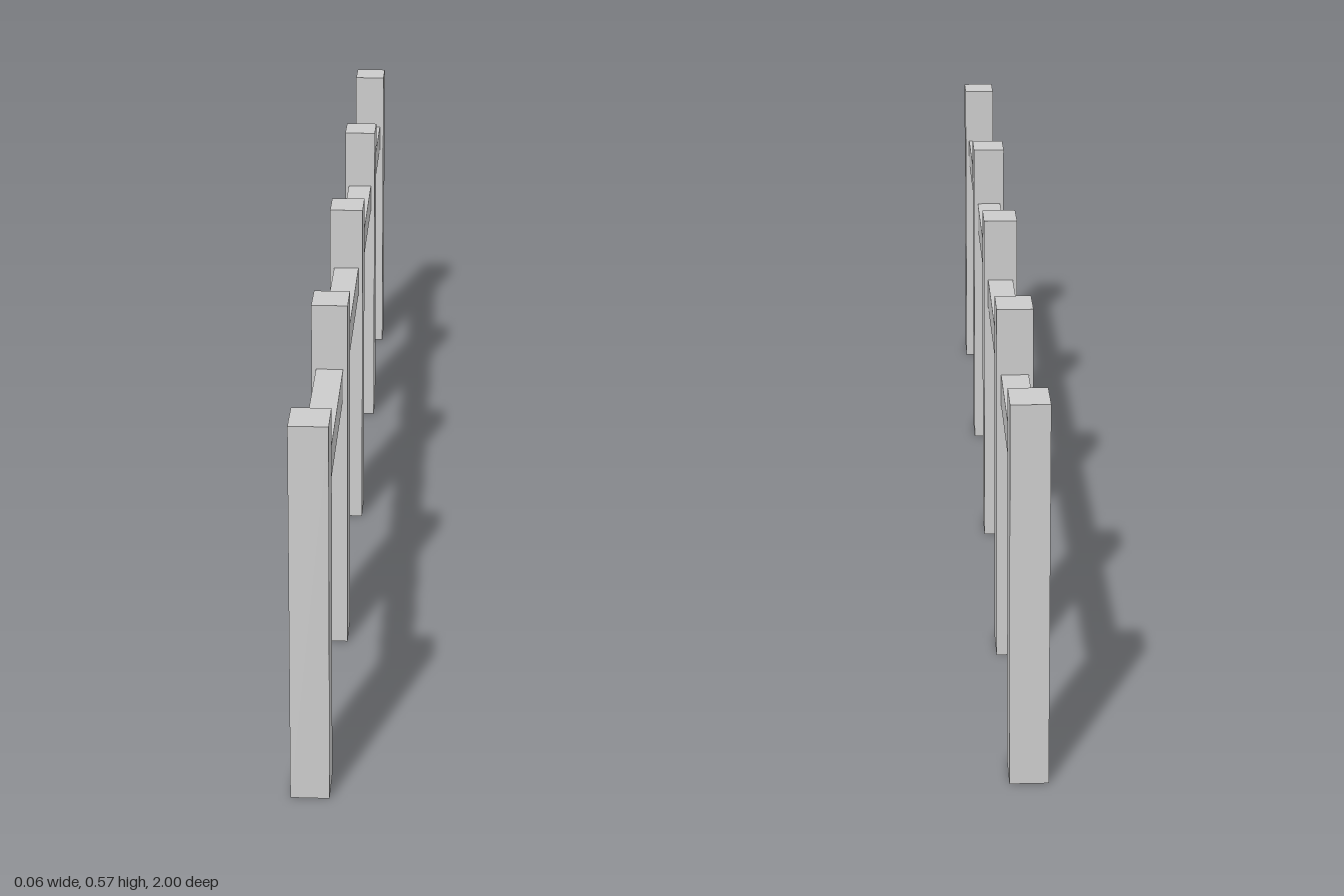
import * as THREE from 'three';

const POST = { width: 0.056, height: 0.57, depth: 0.07 };
const RAIL = { width: 0.042, height: 0.048, y: 0.442 };
// Even spacing from the front; the last bay is shortened to end flush
const POST_Z = [0.965, 0.465, -0.035, -0.535, -0.965];

export function createModel() {
  const fence = new THREE.Group();
  fence.name = 'fence';
  const material = new THREE.MeshStandardMaterial({ color: 0xcccccc, flatShading: true });

  const addBox = (name, width, height, depth, y, z) => {
    const mesh = new THREE.Mesh(new THREE.BoxGeometry(width, height, depth), material);
    mesh.name = name;
    mesh.position.set(0, y, z);
    fence.add(mesh);
  };

  POST_Z.forEach((z, i) => {
    // Upright post standing on the ground
    addBox(`post${i + 1}`, POST.width, POST.height, POST.depth, POST.height / 2, z);

    // Rail bridging the gap to the next post
    if (i < POST_Z.length - 1) {
      const next = POST_Z[i + 1];
      addBox(`rail${i + 1}`, RAIL.width, RAIL.height, z - next - POST.depth, RAIL.y, (z + next) / 2);
    }
  });

  return fence;
}
